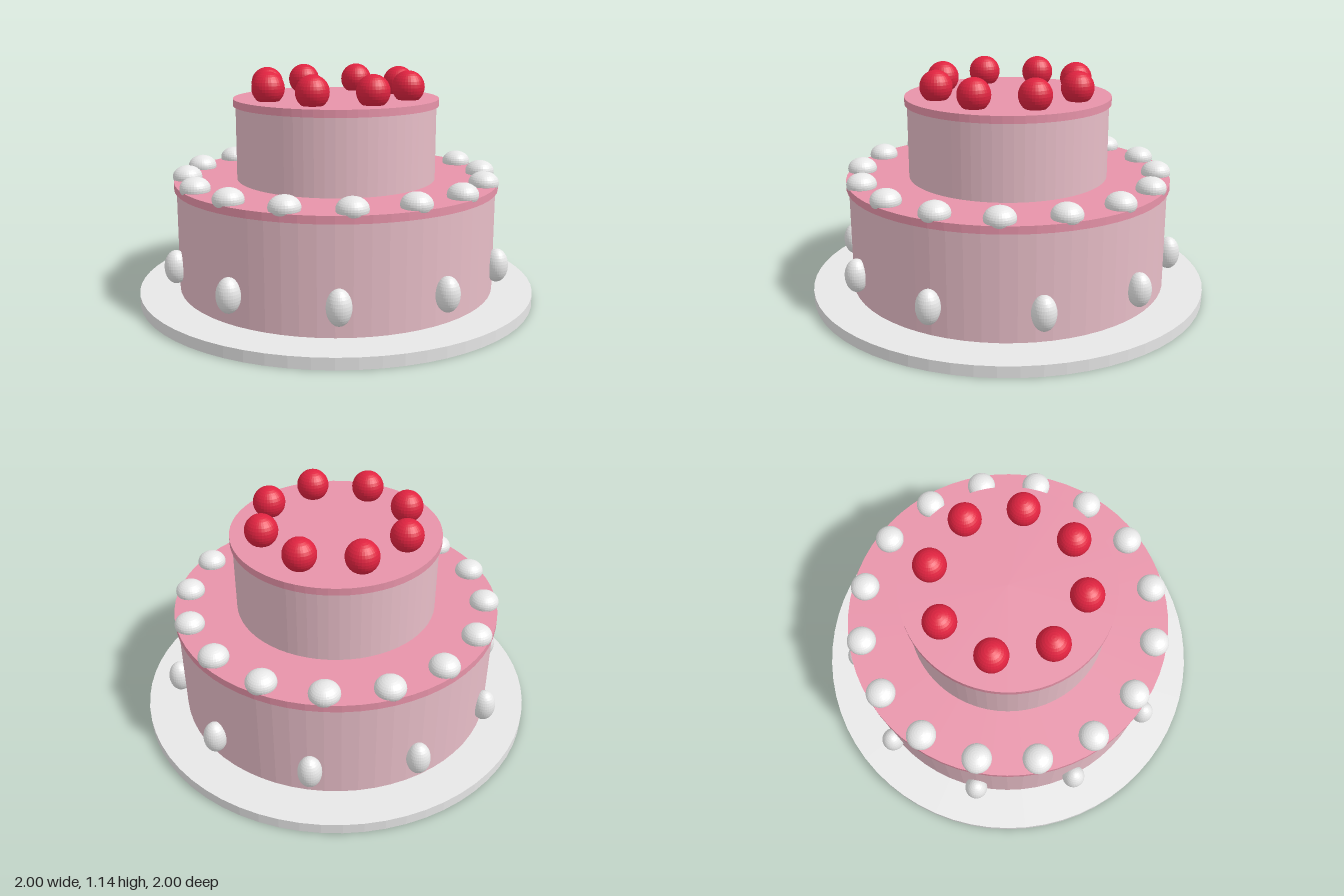
import * as THREE from 'three';

const paint = (name, color) => {
  const m = new THREE.MeshStandardMaterial({ color });
  m.name = name;
  m.flatShading = true;
  return m;
};

export function createModel() {
  const cake = new THREE.Group();
  cake.name = 'tieredCake';

  const white = paint('white', 0xffffff);
  const sponge = paint('palePink', 0xffd1dc);
  const icing = paint('icingPink', 0xffa3bb);
  const red = paint('cherryRed', 0xe02340);

  // Upright disc between two heights
  const disc = (name, radius, y0, y1, material) => {
    const mesh = new THREE.Mesh(new THREE.CylinderGeometry(radius, radius, y1 - y0, 64), material);
    mesh.name = name;
    mesh.position.y = (y0 + y1) / 2;
    cake.add(mesh);
  };

  // Evenly spaced ring of stretched balls
  const ring = (name, count, ringRadius, y, radius, halfHeight, material) => {
    const group = new THREE.Group();
    group.name = name + 'Ring';
    const geometry = new THREE.SphereGeometry(radius, 32, 16);
    geometry.scale(1, halfHeight / radius, 1);
    for (let i = 0; i < count; i++) {
      const a = (i / count) * Math.PI * 2;
      const ball = new THREE.Mesh(geometry, material);
      ball.name = name;
      ball.position.set(Math.cos(a) * ringRadius, y, Math.sin(a) * ringRadius);
      group.add(ball);
    }
    cake.add(group);
  };

  // Plate, tiers and their icing tops
  disc('plate', 1, 0, 0.055, white);
  disc('lowerTier', 0.8, 0.055, 0.563, sponge);
  disc('lowerIcing', 0.812, 0.563, 0.6, icing);
  disc('upperTier', 0.5, 0.6, 0.967, sponge);
  disc('upperIcing', 0.512, 0.967, 1.003, icing);

  // Decorations
  ring('sidePearl', 10, 0.824, 0.203, 0.057, 0.083, white);
  ring('creamDollop', 16, 0.747, 0.613, 0.073, 0.055, white);
  ring('cherry', 8, 0.367, 1.064, 0.08, 0.08, red);

  return cake;
}
